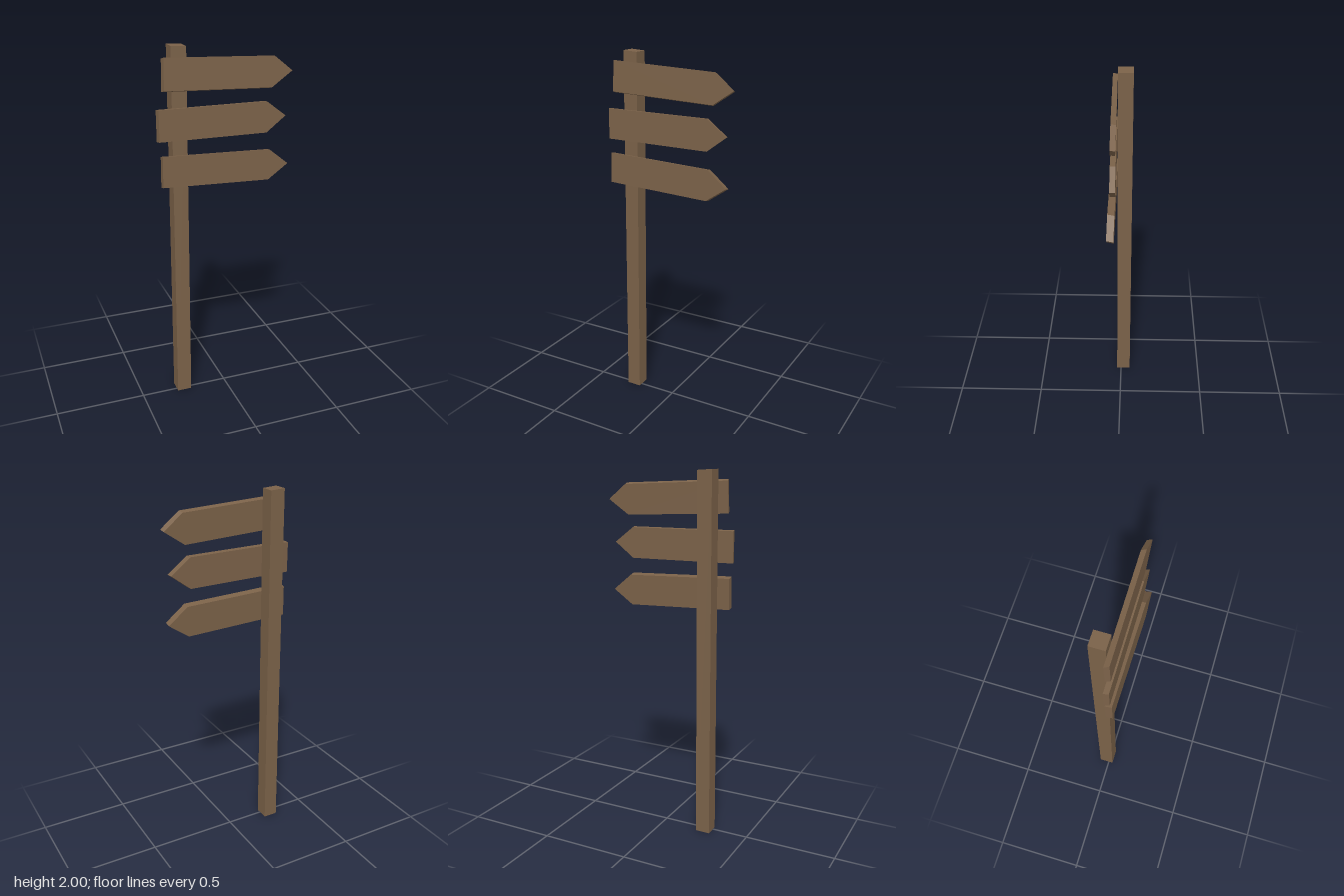
import * as THREE from 'three';

// Moves each vertex of a geometry by a rule, then rebuilds flat normals
function warp(geometry, rule) {
  const p = geometry.attributes.position;
  const v = new THREE.Vector3();
  for (let i = 0; i < p.count; i++) {
    rule(v.fromBufferAttribute(p, i));
    p.setXYZ(i, v.x, v.y, v.z);
  }
  geometry.computeVertexNormals();
  return geometry;
}

export function createModel() {
  const model = new THREE.Group();
  model.name = 'signpost';
  const wood = new THREE.MeshStandardMaterial({ color: 0x7a6148, flatShading: true });
  wood.name = 'brown wood';

  // Square post, leaning slightly to the left and back
  const postGeometry = warp(new THREE.BoxGeometry(0.081, 1.995, 0.081), (v) => {
    const t = (v.y + 0.9975) / 1.995;
    v.y += 0.9975 - t * v.x * 0.06 + t * 0.0025;
    v.x += -0.255 + 0.0105 * t;
    v.z += -0.0155 - 0.008 * t;
  });
  const post = new THREE.Mesh(postGeometry, wood);
  post.name = 'post';
  model.add(post);

  // Arrow boards: front outline, front plane (z, yaw, pitch) and offset to the back face
  const boards = [
    {
      name: 'topBoard', y: 1.855, z: 0.0445, yaw: -0.0125, pitch: -0.03, back: [-0.007, -0.008, 0.026],
      outline: [[-0.33, 1.95], [-0.335, 1.785], [0.255, 1.762], [0.371, 1.842], [0.267, 1.925]],
    },
    {
      name: 'middleBoard', y: 1.607, z: 0.048, yaw: -0.008, pitch: -0.01, back: [-0.007, -0.003, 0.028],
      outline: [[-0.366, 1.692], [-0.366, 1.526], [0.227, 1.522], [0.337, 1.606], [0.227, 1.69]],
    },
    {
      name: 'bottomBoard', y: 1.352, z: 0.0605, yaw: 0.004, pitch: -0.025, back: [-0.001, -0.008, 0.036],
      outline: [[-0.353, 1.45], [-0.356, 1.284], [0.235, 1.263], [0.349, 1.343], [0.241, 1.431]],
    },
  ];
  for (const { name, y, z, yaw, pitch, back, outline } of boards) {
    const shape = new THREE.Shape(outline.map(([px, py]) => new THREE.Vector2(px, py)));
    const geometry = new THREE.ExtrudeGeometry(shape, { depth: 1, bevelEnabled: false });
    warp(geometry, (v) => {
      const behind = 1 - v.z;
      v.z = z + yaw * v.x + pitch * (v.y - y) - back[2] * behind;
      v.x += back[0] * behind;
      v.y += back[1] * behind;
    });
    const board = new THREE.Mesh(geometry, wood);
    board.name = name;
    model.add(board);
  }
  return model;
}
